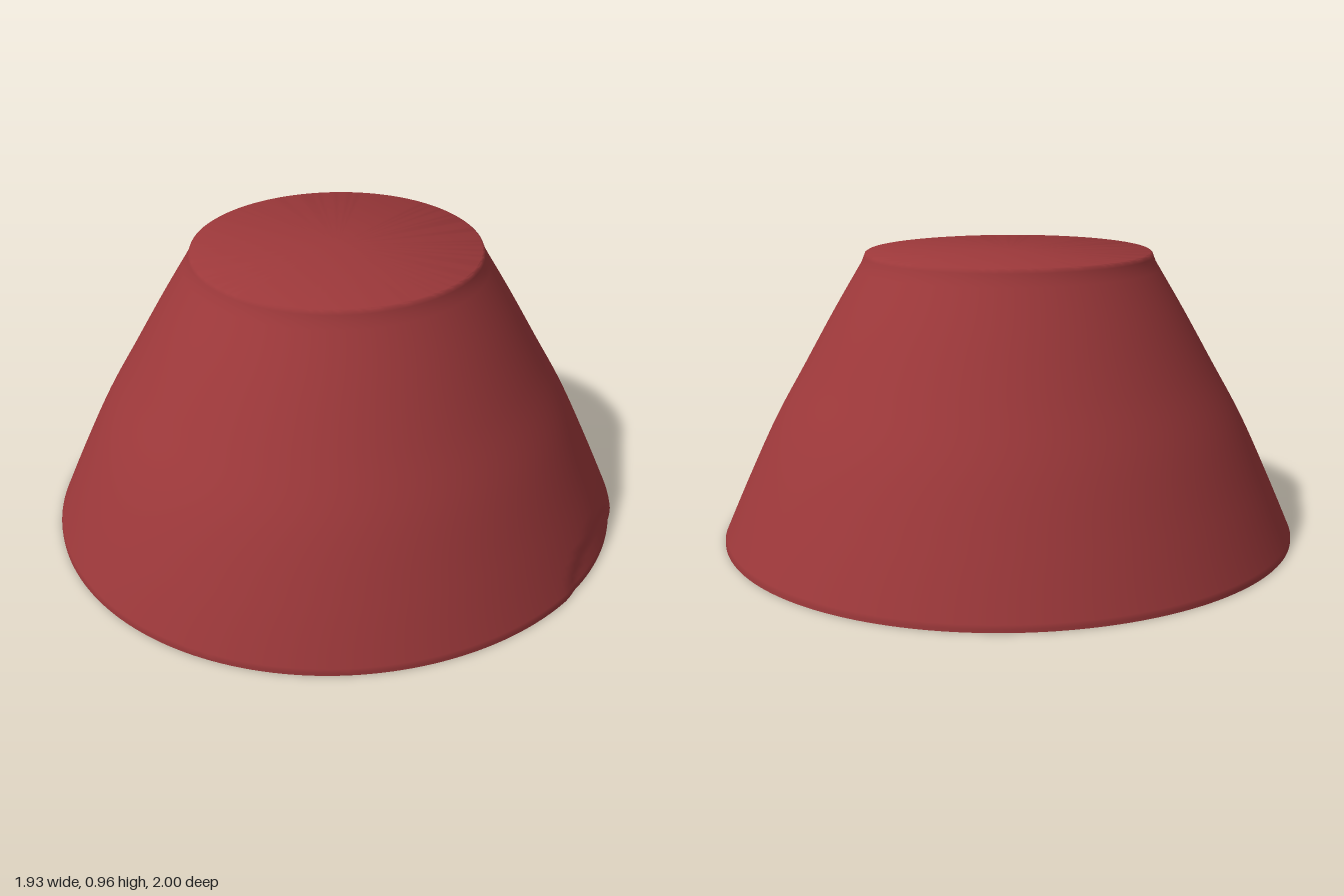
import * as THREE from 'three';
import { toCreasedNormals } from 'three/addons/utils/BufferGeometryUtils.js';

const BASE_R = 0.97, TOP_Y = 0.96;

// Wall profile (radius, height), gently bulging from the base to the neck
const wall = new THREE.SplineCurve([
  [BASE_R, 0.01], [0.885, 0.2], [0.79, 0.4], [0.69, 0.58], [0.59, 0.76], [0.505, 0.905],
].map(([r, y]) => new THREE.Vector2(r, y)));

export function createModel() {
  const group = new THREE.Group();
  const material = new THREE.MeshStandardMaterial({ color: 0x9c383a });

  // Closed profile: flat base, wall, small stepped rim, flat top
  const profile = [
    new THREE.Vector2(0, 0),
    new THREE.Vector2(BASE_R, 0),
    ...wall.getPoints(48),
    ...[[0.493, 0.925], [0.485, 0.945], [0.481, 0.956], [0.475, TOP_Y], [0, TOP_Y]]
      .map(([r, y]) => new THREE.Vector2(r, y)),
  ];
  const geometry = new THREE.LatheGeometry(profile, 192);

  // Slightly longer front to back, with a shallow arched dent at the foot of the left side
  const p = geometry.attributes.position;
  for (let i = 0; i < p.count; i++) {
    const x = p.getX(i), y = p.getY(i), z = p.getZ(i);
    const r = Math.hypot(x, z);
    if (r < 1e-6) continue;
    const c = z / r;
    const bulge = Math.sin(Math.PI * Math.min(y / 0.92, 1)) * (c > 0 ? 0.025 : 0.008);
    let scale = 1 + 0.031 * Math.abs(c) ** 3 + bulge * c * c;
    if (x > 0 && r > 0.8) {
      const d = Math.hypot(z / 0.26, y / 0.1);
      scale -= 0.008 * (1 - THREE.MathUtils.smoothstep(d, 0.85, 1.05));
    }
    p.setXYZ(i, x * scale, y, z * scale);
  }

  const body = new THREE.Mesh(toCreasedNormals(geometry, 0.7), material);
  body.name = 'taperedBody';
  group.add(body);
  return group;
}
